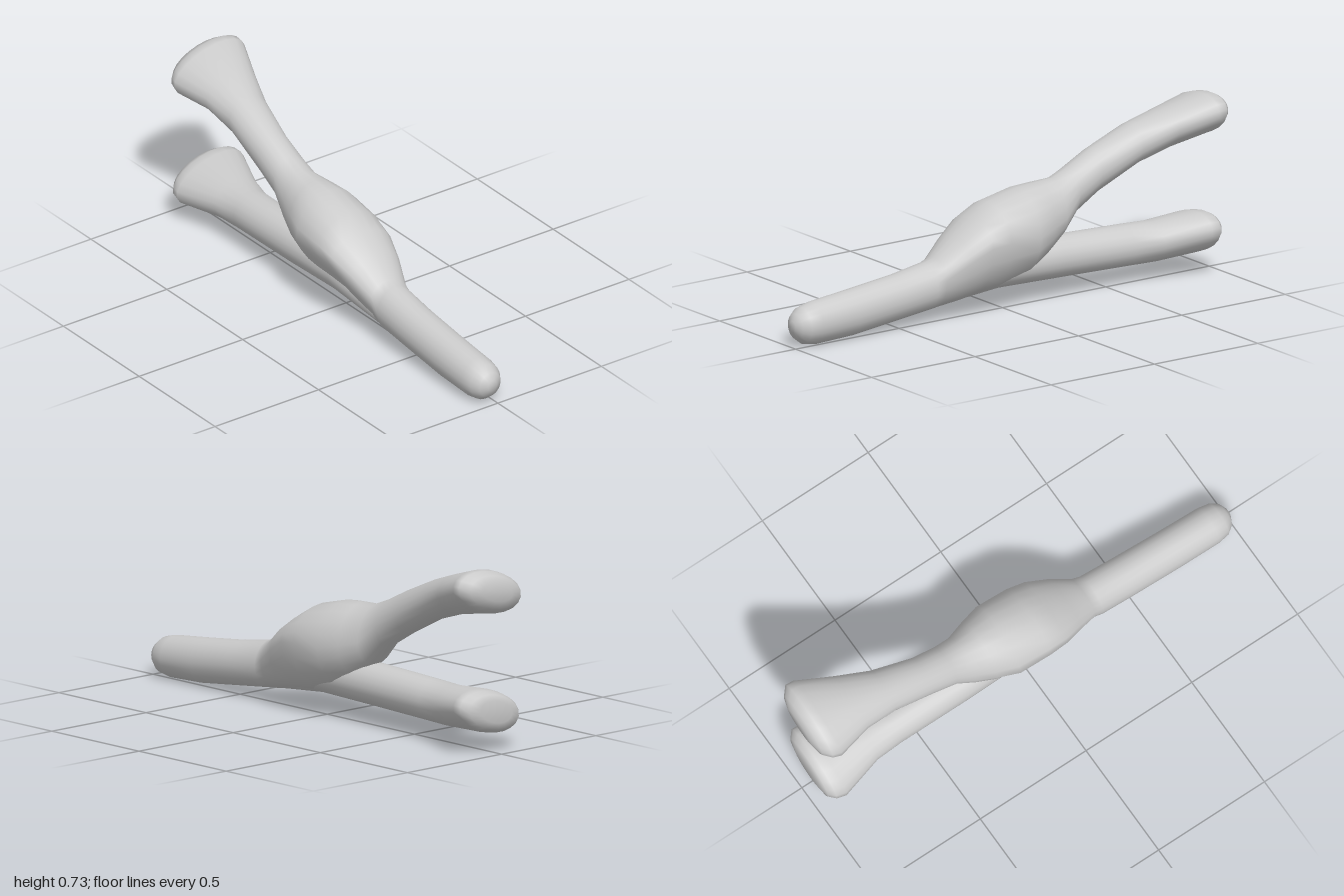
import * as THREE from 'three';

const SIDES = 20;

// Skin a closed tube over cross-sections taken along x.
// Section: [x, top, bottom, back z, front z, roll, widest y, front pinch]
function loft(name, sections, material) {
  const pos = [], index = [];
  for (const [x, top, bottom, back, front, roll = 0, widest, pinch = 0] of sections) {
    const cy = widest ?? (top + bottom) / 2, cz = (back + front) / 2;
    const rz = (front - back) / 2 / Math.cos(roll);
    // Remove the height that the roll itself adds
    const thin = h => Math.sqrt(Math.max(h * h - (rz * Math.sin(roll)) ** 2, 1e-6)) / Math.cos(roll);
    const up = thin(top - cy), down = thin(cy - bottom);
    for (let i = 0; i < SIDES; i++) {
      const a = (i / SIDES) * Math.PI * 2, c = Math.cos(a), s = Math.sin(a);
      const flat = s < 0 && c > 0 ? pinch : 0;
      const w = rz * (c * (1 - flat) + (1 - Math.abs(s)) * flat);
      const h = s * (s > 0 ? up : down);
      pos.push(x, cy + h * Math.cos(roll) - w * Math.sin(roll),
        cz + w * Math.cos(roll) + h * Math.sin(roll));
    }
  }
  const last = sections.length - 1;
  for (let j = 0; j < last; j++) {
    for (let i = 0; i < SIDES; i++) {
      const k = (i + 1) % SIDES;
      const a = j * SIDES + i, b = j * SIDES + k, c = a + SIDES, d = b + SIDES;
      index.push(a, c, b, b, c, d);
    }
  }
  // Close both ends with a fan
  for (const j of [0, last]) {
    const [x, top, bottom, back, front] = sections[j];
    const centre = pos.length / 3;
    pos.push(x, (top + bottom) / 2, (back + front) / 2);
    for (let i = 0; i < SIDES; i++) {
      const a = j * SIDES + i, b = j * SIDES + (i + 1) % SIDES;
      if (j === 0) index.push(centre, a, b);
      else index.push(centre, b, a);
    }
  }
  const geometry = new THREE.BufferGeometry();
  geometry.setAttribute('position', new THREE.Float32BufferAttribute(pos, 3));
  geometry.setIndex(index);
  geometry.computeVertexNormals();
  const mesh = new THREE.Mesh(geometry, material);
  mesh.name = name;
  return mesh;
}

export function createModel() {
  const group = new THREE.Group();
  group.name = 'forkedBranch';
  const material = new THREE.MeshStandardMaterial({ color: 0xcccccc, side: THREE.DoubleSide });

  // Flared upper prong, swollen body and rounded handle in one skin
  group.add(loft('upperProngBodyAndHandle', [
    [-1.0, 0.69, 0.61, -0.10, 0.06, 0.25],
    [-0.985, 0.72, 0.575, -0.15, 0.115, 0.25],
    [-0.955, 0.736, 0.555, -0.184, 0.145, 0.25],
    [-0.92, 0.736, 0.548, -0.182, 0.155, 0.25],
    [-0.77, 0.69, 0.525, -0.125, 0.115, 0.2],
    [-0.63, 0.645, 0.48, -0.08, 0.105, 0.08],
    [-0.45, 0.57, 0.39, -0.055, 0.105],
    [-0.34, 0.515, 0.325, -0.06, 0.105],
    [-0.26, 0.483, 0.24, -0.08, 0.118, 0, 0.34],
    [-0.18, 0.478, 0.18, -0.11, 0.15, 0, 0.32, 0.2],
    [-0.09, 0.472, 0.13, -0.138, 0.178, 0, 0.30, 0.5],
    [0.05, 0.437, 0.088, -0.135, 0.182, 0, 0.30, 0.8],
    [0.13, 0.39, 0.08, -0.125, 0.175, 0, 0.29, 0.8],
    [0.22, 0.33, 0.067, -0.10, 0.143, 0, 0.24, 0.5],
    [0.31, 0.255, 0.056, -0.065, 0.11, 0, 0.18, 0.2],
    [0.35, 0.243, 0.052, -0.062, 0.106],
    [0.5, 0.217, 0.035, -0.06, 0.106],
    [0.72, 0.192, 0.01, -0.057, 0.105],
    [0.9, 0.173, 0.004, -0.055, 0.104],
    [0.95, 0.16, 0.012, -0.047, 0.096],
    [0.98, 0.138, 0.035, -0.027, 0.074],
    [0.995, 0.11, 0.065, 0.002, 0.044],
  ], material));

  // Flared lower prong running into the body
  group.add(loft('lowerProng', [
    [-0.975, 0.215, 0.12, -0.085, 0.08, 0.26],
    [-0.965, 0.24, 0.09, -0.135, 0.125, 0.26],
    [-0.94, 0.253, 0.075, -0.163, 0.148, 0.26],
    [-0.9, 0.256, 0.07, -0.163, 0.158, 0.26],
    [-0.72, 0.236, 0.07, -0.10, 0.11, 0.15],
    [-0.6, 0.237, 0.07, -0.07, 0.105, 0.06],
    [-0.27, 0.247, 0.077, -0.06, 0.108],
    [0.02, 0.25, 0.085, -0.06, 0.105],
    [0.3, 0.21, 0.06, -0.05, 0.095],
  ], material));

  // Centre the whole on the ground plane
  group.updateMatrixWorld(true);
  const box = new THREE.Box3().setFromObject(group);
  const centre = box.getCenter(new THREE.Vector3());
  group.children.forEach(m => m.geometry.translate(-centre.x, -box.min.y, -centre.z));
  return group;
}
